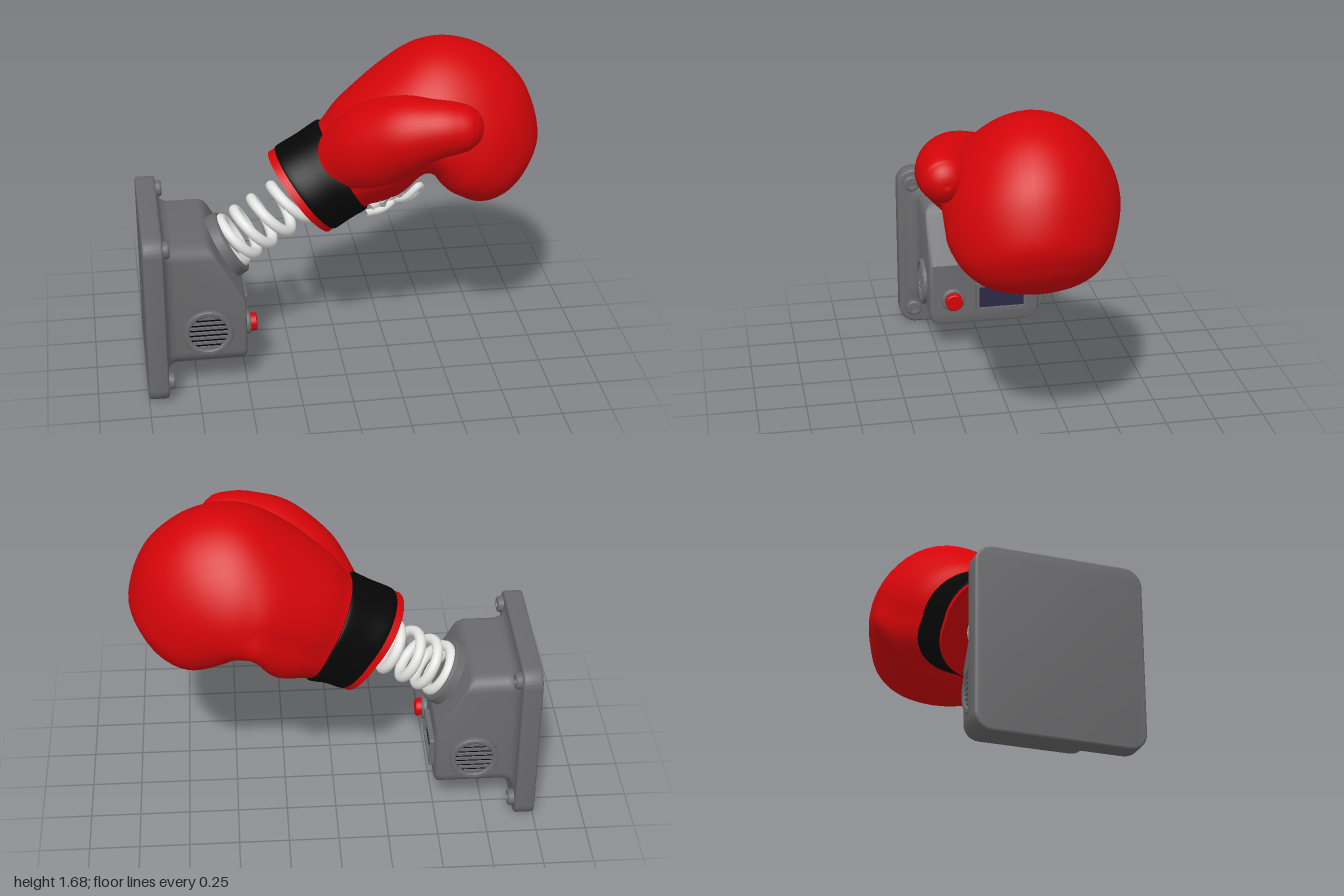
import * as THREE from 'three';
import { toCreasedNormals } from 'three/addons/utils/BufferGeometryUtils.js';

const V = (x, y, z) => new THREE.Vector3(x, y, z);
const mat = (name, color, side = THREE.FrontSide) => {
  const m = new THREE.MeshStandardMaterial({ color, side });
  m.name = name;
  return m;
};

// Skin a stack of closed rings (equal point counts); extra holds more indices
function loft(rings, extra = []) {
  const n = rings[0].length, index = [];
  for (let k = 0; k < rings.length - 1; k++)
    for (let i = 0; i < n; i++) {
      const a = k * n + i, b = k * n + (i + 1) % n;
      index.push(a, a + n, b, b, a + n, b + n);
    }
  const g = new THREE.BufferGeometry().setFromPoints(rings.flat());
  g.setIndex(index.concat(extra));
  g.computeVertexNormals();
  return g;
}

const spline = points => new THREE.CatmullRomCurve3(points, false, 'catmullrom');

// Sections [topX, topY, bottomX, bottomY, halfWidth, centreZ, skew, egg]:
// skew slides the underside towards -z, egg lowers the widest point
function sectionLoft(keys, steps, segs = 48) {
  const top = spline(keys.map(k => V(k[0], k[1], k[5])));
  const bottom = spline(keys.map(k => V(k[2], k[3], k[4])));
  const form = spline(keys.map(k => V(k[6], k[7] ?? 0, 0)));
  const rings = [];
  for (let s = 0; s <= steps; s++) {
    const t = top.getPoint(s / steps), b = bottom.getPoint(s / steps), f = form.getPoint(s / steps), ring = [];
    for (let i = 0; i < segs; i++) {
      const a = i / segs * Math.PI * 2, c = (Math.cos(a) - f.y * Math.sin(a) ** 2) / 2;
      ring.push(V((t.x + b.x) / 2 + (t.x - b.x) * c, (t.y + b.y) / 2 + (t.y - b.y) * c,
        t.z - Math.max(b.z, 0) * Math.sin(a) - f.x * Math.max(0, -Math.cos(a))));
    }
    rings.push(ring);
  }
  return loft(rings);
}

// Round limb along a path: [x, y, z, radius]
function limbLoft(keys, steps, segs = 32) {
  const path = spline(keys.map(k => V(k[0], k[1], k[2])));
  const radius = spline(keys.map(k => V(k[3], 0, 0)));
  const rings = [];
  for (let s = 0; s <= steps; s++) {
    const p = path.getPoint(s / steps), r = Math.max(radius.getPoint(s / steps).x, 0);
    const t = path.getTangent(s / steps);
    const b = V(0, 0, 1).addScaledVector(t, -t.z).normalize(), a = b.clone().cross(t);
    rings.push(Array.from({ length: segs }, (_, i) => {
      const q = i / segs * Math.PI * 2;
      return p.clone().addScaledVector(a, r * Math.cos(q)).addScaledVector(b, -r * Math.sin(q));
    }));
  }
  return loft(rings);
}

function roundRect(w, h, r, Type = THREE.Shape) {
  const s = new Type(), x = w / 2 - r, y = h / 2 - r;
  s.absarc(x, y, r, 0, Math.PI / 2);
  s.absarc(-x, y, r, Math.PI / 2, Math.PI);
  s.absarc(-x, -y, r, Math.PI, Math.PI * 1.5);
  s.absarc(x, -y, r, Math.PI * 1.5, Math.PI * 2);
  s.closePath();
  return s;
}

// Housing: flared rounded box with a sloping upper front
function housingGeometry() {
  const slopeX = y => -0.5 - Math.max(0, y - 0.5) * 0.567;
  const ring = (grow, xAt) => {
    const hw = 0.297 + grow, hh = 0.327 + grow, r = 0.075 + grow, half = [];
    for (let i = 0; i <= 8; i++) {
      const a = -Math.PI / 2 + i / 8 * Math.PI / 2;
      half.push([hw - r + r * Math.cos(a), 0.477 - hh + r + r * Math.sin(a)]);
    }
    half.push([hw, 0.5]);
    for (let i = 0; i <= 8; i++) {
      const a = i / 8 * Math.PI / 2;
      half.push([hw - r + r * Math.cos(a), 0.477 + hh - r + r * Math.sin(a)]);
    }
    return [...half.map(([z, y]) => V(xAt(y), y, z)),
      ...half.slice().reverse().map(([z, y]) => V(xAt(y), y, -z))];
  };
  const rings = [ring(0.06, () => -0.9), ring(0.03, () => -0.893), ring(0.012, () => -0.878),
    ring(0, () => -0.85), ring(0, y => slopeX(y) - 0.022), ring(-0.007, y => slopeX(y) - 0.007),
    ring(-0.022, slopeX)];
  const n = rings[0].length, o = n * (rings.length - 1), cap = [];
  for (let i = 0; i < n / 2 - 1; i++) {
    const h = o + i, m = o + n - 1 - i;
    cap.push(h, m, h + 1, h + 1, m, m - 1);
  }
  return toCreasedNormals(loft(rings, cap), 0.5);
}

export function createModel() {
  const root = new THREE.Group();
  const grey = mat('grey casing', 0x6a6a6c), black = mat('black', 0x060606, THREE.DoubleSide);
  const red = mat('red', 0xd40408), white = mat('white', 0xe4e4e2), navy = mat('screen navy', 0x2a2a46);
  const add = (parent, name, geo, m, x = 0, y = 0, z = 0) => {
    const mesh = new THREE.Mesh(geo, m);
    mesh.name = name;
    mesh.position.set(x, y, z);
    parent.add(mesh);
    return mesh;
  };
  const group = (name, x, y, z) => {
    const g = new THREE.Group();
    g.name = name;
    g.position.set(x, y, z);
    root.add(g);
    return g;
  };
  const lathe = (pts, segs = 32) => toCreasedNormals(
    new THREE.LatheGeometry(pts.map(p => new THREE.Vector2(...p)), segs), 0.6);
  const alongX = g => g.rotateZ(-Math.PI / 2);

  // Wall plate and housing
  const plate = new THREE.ExtrudeGeometry(roundRect(0.786, 0.876, 0.075), {
    depth: 0.076, bevelSize: 0.012, bevelThickness: 0.012, bevelSegments: 3, curveSegments: 10 });
  add(root, 'wallPlate', toCreasedNormals(plate.rotateY(Math.PI / 2), 0.6), grey, -0.988, 0.452, -0.005);
  add(root, 'housing', housingGeometry(), grey, 0, 0, -0.005);

  // Corner bolts with a socket
  const bolt = alongX(lathe([[0.042, -0.02], [0.042, 0.024], [0.035, 0.032], [0.023, 0.032], [0.02, 0.01], [0, 0.01]], 24));
  for (const y of [0.093, 0.83]) for (const z of [0.325, -0.341])
    add(root, 'bolt', bolt, grey, -0.9, y, z);

  // Round vents with slats on both sides
  for (const side of [1, -1]) {
    const vent = group('vent', -0.692, 0.338, side * 0.297 - 0.008);
    if (side < 0) vent.rotation.y = Math.PI;
    const ring = lathe([[0.095, 0], [0.095, 0.02], [0.102, 0.025], [0.117, 0.025], [0.122, 0.018], [0.122, -0.01]].reverse(), 48);
    add(vent, 'ventRing', ring.rotateX(Math.PI / 2), grey);
    add(vent, 'ventBack', new THREE.CircleGeometry(0.096, 40), black, 0, 0, 0.006);
    for (let i = -3; i <= 3; i++) {
      const y = i * 0.0275;
      add(vent, 'slat', new THREE.BoxGeometry(2 * Math.sqrt(0.0092 - y * y), 0.012, 0.016), grey, 0, y, 0.01);
    }
  }

  // Push button
  add(root, 'buttonRing', alongX(lathe([[0.062, -0.01], [0.062, 0.018], [0.055, 0.026], [0.046, 0.026], [0.046, 0]])), grey, -0.5, 0.305, 0.165);
  add(root, 'button', alongX(lathe([[0.045, 0], [0.045, 0.053], [0.04, 0.058], [0, 0.058]])), red, -0.5, 0.305, 0.165);

  // Display
  const frame = roundRect(0.275, 0.158, 0.01);
  frame.holes.push(roundRect(0.24, 0.122, 0.004, THREE.Path));
  add(root, 'screenFrame', new THREE.ExtrudeGeometry(frame, { depth: 0.024, bevelEnabled: false })
    .rotateY(Math.PI / 2), grey, -0.5, 0.31, -0.095);
  add(root, 'screen', new THREE.BoxGeometry(0.008, 0.122, 0.24), navy, -0.494, 0.31, -0.095);

  // Collar and spring, leaning along the launch axis
  const launcher = group('launcher', -0.585, 0.65, -0.01);
  launcher.rotation.z = Math.PI / 6;
  add(launcher, 'collar', alongX(lathe([[0.172, -0.03], [0.168, 0.045], [0.158, 0.055], [0.142, 0.055], [0.135, 0.045], [0.135, 0.005], [0, 0.005]], 48)), grey);
  const coil = new THREE.Curve();
  coil.getPoint = (t, out = V(0, 0, 0)) => {
    const a = t * Math.PI * 2 * 5, v = 0.118 * Math.cos(a);
    return out.set(0.025 + 0.49 * Math.pow(t, 1.4) - 0.12 * v, v + 0.02 * t, 0.118 * Math.sin(a) - 0.02 * t);
  };
  add(launcher, 'spring', new THREE.TubeGeometry(coil, 260, 0.027, 12), white);

  // Glove: local x runs from wrist to fist
  const glove = group('glove', -0.19, 0.91, 0);
  glove.rotation.z = Math.PI / 6;
  const rim = [-0.033, 0.257, 0.022, -0.267, 0.25, -0.035, 0.06];
  add(glove, 'gloveBody', sectionLoft([
    rim,
    [0.1, 0.25, 0.12, -0.256, 0.25, -0.042, 0.06],
    [0.25, 0.246, 0.24, -0.255, 0.274, -0.052, 0.08, 0.05],
    [0.4, 0.302, 0.43, -0.275, 0.36, -0.045, 0.13, 0.12],
    [0.677, 0.35, 0.57, -0.2, 0.414, -0.05, 0.14, 0.26],
    [0.889, 0.352, 0.61, -0.22, 0.418, -0.057, 0.08, 0.33],
    [1.05, 0.275, 0.615, -0.24, 0.422, -0.056, 0.03, 0.36],
    [1.175, 0.12, 0.62, -0.265, 0.415, -0.05, 0, 0.36],
    [1.228, -0.09, 0.63, -0.305, 0.397, -0.038, 0, 0.33],
    [1.18, -0.32, 0.65, -0.36, 0.35, -0.034, 0, 0.24],
    [1.085, -0.425, 0.685, -0.43, 0.275, -0.034, 0, 0.15],
    [0.99, -0.478, 0.745, -0.475, 0.18, -0.034, 0, 0.07],
    [0.91, -0.501, 0.81, -0.495, 0.08, -0.034, 0],
    [0.86, -0.504, 0.86, -0.504, 0, -0.034, 0]], 78), red);
  add(glove, 'wristCap', sectionLoft([[-0.004, 0, -0.004, 0, 0, -0.035, 0], rim], 1), red);
  add(glove, 'cuff', sectionLoft([
    [0.014, 0.25, 0.058, -0.256, 0.24, -0.037, 0.06], [0.017, 0.263, 0.061, -0.27, 0.256, -0.037, 0.06],
    [0.13, 0.26, 0.145, -0.268, 0.264, -0.044, 0.065],
    [0.25, 0.262, 0.235, -0.268, 0.285, -0.052, 0.08, 0.05],
    [0.256, 0.245, 0.24, -0.25, 0.267, -0.052, 0.08, 0.05]], 24), black);

  // Thumb growing out of the palm and lying along the fist
  add(root, 'thumb', limbLoft([
    [-0.09, 1.03, 0.03, 0.12], [0.035, 1.135, 0.07, 0.18], [0.16, 1.24, 0.155, 0.215],
    [0.29, 1.34, 0.27, 0.188], [0.41, 1.385, 0.335, 0.146], [0.51, 1.395, 0.357, 0.124],
    [0.575, 1.39, 0.358, 0.103], [0.615, 1.385, 0.358, 0.067], [0.632, 1.383, 0.358, 0.03],
    [0.636, 1.383, 0.358, 0]], 60), red);

  // Laces across the slanting palm: points are [along, z, lift]
  const lace = (pts, closed = false) => {
    const curve = new THREE.CatmullRomCurve3(pts.map(([u, z, lift]) =>
      V(u, -0.23 + 0.45 * z + Math.max(0, u - 0.44) * 0.4 - 0.91 * lift, z + 0.41 * lift)), closed);
    add(glove, 'lace', new THREE.TubeGeometry(curve, 40, 0.018, 8, closed), white);
  };
  for (const u of [0.27, 0.37]) {
    lace([[u, -0.05, 0.005], [u + 0.04, 0.06, 0.04], [u + 0.08, 0.17, 0.01]]);
    lace([[u + 0.08, -0.05, 0.005], [u + 0.04, 0.06, 0.02], [u, 0.17, 0.01]]);
  }
  lace([[0.38, 0.04, 0.04], [0.45, 0.12, 0.06], [0.53, 0.13, 0.07], [0.52, 0.05, 0.09], [0.44, 0.02, 0.07]], true);
  lace([[0.4, 0.04, 0.04], [0.32, 0.11, 0.05], [0.24, 0.18, 0.02]]);
  return root;
}
